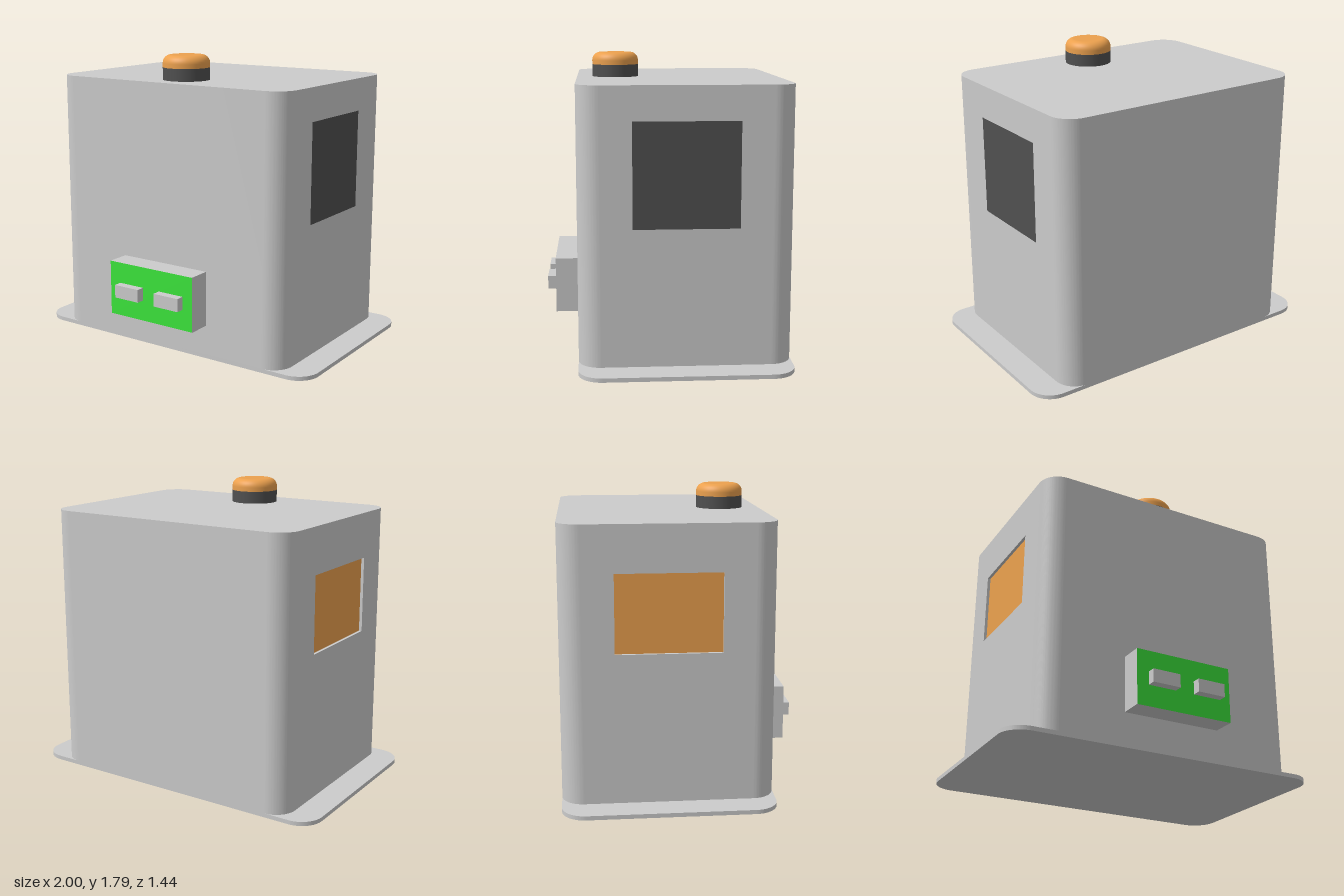
import * as THREE from 'three';
import { toCreasedNormals } from 'three/addons/utils/BufferGeometryUtils.js';

const material = (color) => new THREE.MeshStandardMaterial({ color });

// Rectangle with rounded corners; an optional notch is cut into the left and right sides
function roundedShape(halfW, z0, z1, r, notch = 0) {
  const s = new THREE.Shape();
  const y0 = -z1, y1 = -z0; // shape y becomes -z once laid flat
  s.moveTo(-halfW + r, y0);
  s.lineTo(halfW - r, y0);
  s.absarc(halfW - r, y0 + r, r, -Math.PI / 2, 0);
  if (notch) {
    s.lineTo(halfW - notch, y0 + r);
    s.lineTo(halfW - notch, y1 - r);
    s.lineTo(halfW, y1 - r);
  }
  s.absarc(halfW - r, y1 - r, r, 0, Math.PI / 2);
  s.absarc(-halfW + r, y1 - r, r, Math.PI / 2, Math.PI);
  if (notch) {
    s.lineTo(-halfW + notch, y1 - r);
    s.lineTo(-halfW + notch, y0 + r);
    s.lineTo(-halfW, y0 + r);
  }
  s.absarc(-halfW + r, y0 + r, r, Math.PI, Math.PI * 1.5);
  return s;
}

// Upright extrusion of a floor-plan shape
function upright(shape, y0, y1) {
  const g = new THREE.ExtrudeGeometry(shape, { depth: y1 - y0, bevelEnabled: false, curveSegments: 16 });
  g.rotateX(-Math.PI / 2).translate(0, y0, 0);
  return toCreasedNormals(g, 0.5);
}

export function createModel() {
  const group = new THREE.Group();
  const grey = material(0xcccccc);
  const dark = material(0x505050);
  const orange = material(0xeca14e);
  const green = material(0x3ce63c);

  const add = (name, geometry, mat, x = 0, y = 0, z = 0) => {
    const mesh = new THREE.Mesh(geometry, mat);
    mesh.name = name;
    mesh.position.set(x, y, z);
    group.add(mesh);
    return mesh;
  };

  const back = -0.72, front = 0.525, plateTop = 0.025, top = 1.645;
  const halfW = 0.83, radius = 0.13, recess = 0.02;

  // Base plate and housing
  add('basePlate', upright(roundedShape(1, back, front, 0.14), 0, plateTop), grey);
  add('housing', upright(roundedShape(halfW, back, front, radius, recess), plateTop, top), grey);

  // Side walls, each with a recessed window
  const windows = [
    { name: 'left', side: 1, y0: 0.83, y1: 1.445, mat: dark },
    { name: 'right', side: -1, y0: 0.91, y1: 1.37, mat: orange },
  ];
  const winBack = -0.405, winFront = 0.21;
  for (const { name, side, y0, y1, mat } of windows) {
    const rect = (Type, a, b, c, d) => new Type([[a, c], [b, c], [b, d], [a, d]]
      .map(([z, y]) => new THREE.Vector2(-z * side, y)));
    const wall = rect(THREE.Shape, back + radius, front - radius, plateTop, top);
    wall.holes.push(rect(THREE.Path, winBack, winFront, y0, y1));
    const wallGeometry = new THREE.ExtrudeGeometry(wall, { depth: recess, bevelEnabled: false });
    const turn = side * Math.PI / 2;
    add(name + 'Wall', wallGeometry, grey, side * (halfW - recess)).rotation.y = turn;
    const pane = new THREE.PlaneGeometry(winFront - winBack, y1 - y0);
    add(name + 'Window', pane, mat, side * (halfW - recess + 0.002), (y0 + y1) / 2,
      (winBack + winFront) / 2).rotation.y = turn;
  }

  // Push button on the roof: dark collar and rounded cap
  const r = 0.143, buttonZ = 0.287, collarTop = 1.72, capTop = 1.795, fillet = 0.05;
  add('buttonCollar', new THREE.CylinderGeometry(r, r, collarTop - top, 48), dark,
    0, (top + collarTop) / 2, buttonZ);
  const profile = [new THREE.Vector2(r, 0)];
  for (let i = 0; i <= 8; i++) {
    const a = (i / 8) * Math.PI / 2;
    profile.push(new THREE.Vector2(r - fillet + fillet * Math.cos(a),
      capTop - collarTop - fillet + fillet * Math.sin(a)));
  }
  profile.push(new THREE.Vector2(0, capTop - collarTop));
  add('buttonCap', new THREE.LatheGeometry(profile, 48), orange, 0, collarTop, buttonZ);

  // Connector box with a green face (material order: +x, -x, +y, -y, +z, -z)
  const boxFront = 0.668;
  add('connectorBox', new THREE.BoxGeometry(0.616, 0.338, boxFront - front),
    [grey, grey, grey, grey, green, grey], 0, 0.376, (front + boxFront) / 2);

  // Two plugs standing out of the connector face
  for (const [name, x] of [['leftPlug', 0.152], ['rightPlug', -0.145]]) {
    add(name, new THREE.BoxGeometry(0.176, 0.08, 0.052), grey, x, 0.376, boxFront + 0.026);
  }

  return group;
}
